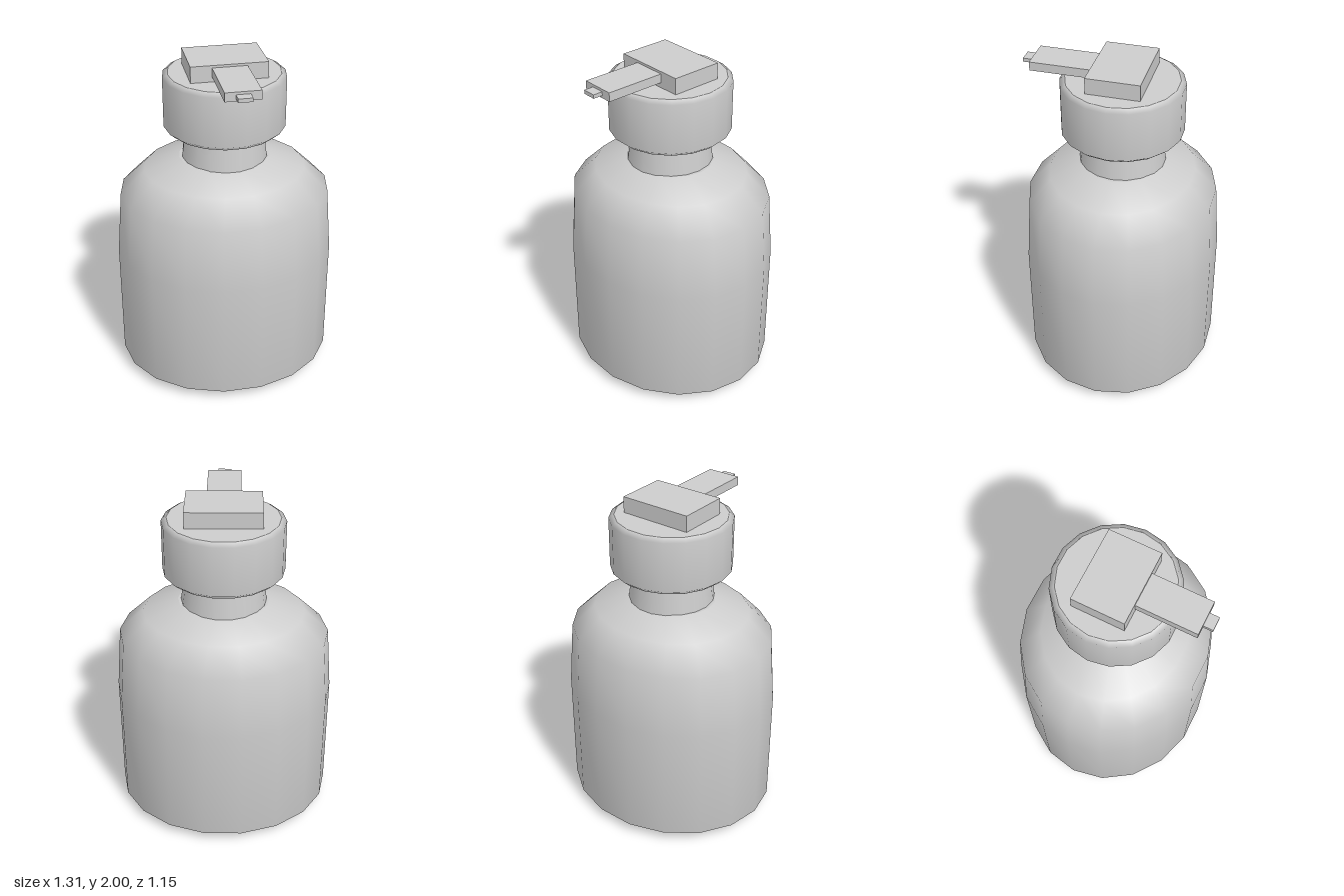
import * as THREE from 'three';

const SIDES = 18;

export function createModel() {
  const group = new THREE.Group();
  const grey = new THREE.MeshStandardMaterial({ color: 0xcccccc });
  grey.name = 'plain grey';

  const add = (name, geometry, parent = group) => {
    const mesh = new THREE.Mesh(geometry, grey);
    mesh.name = name;
    parent.add(mesh);
    return mesh;
  };

  // Turned part with smooth sides and flat, sharp-edged ends; a corner lies on +x
  const turned = (name, profile, depth = 1) => {
    const part = new THREE.Group();
    part.name = name;
    const lathe = (pts) => new THREE.LatheGeometry(
      pts.map(([r, y]) => new THREE.Vector2(r, y)), SIDES, Math.PI / 2);
    const first = profile[0], last = profile[profile.length - 1];
    add(name + 'Side', lathe(profile), part);
    add(name + 'Bottom', lathe([[0, first[1]], first]), part);
    add(name + 'Top', lathe([last, [0, last[1]]]), part);
    part.scale.z = depth;
    group.add(part);
  };

  // Oval bottle with chamfered foot and sloping shoulders
  turned('bottle', [
    [0.54, 0], [0.656, 0.065], [0.656, 0.79],
    [0.625, 1.175], [0.48, 1.315], [0.27, 1.388],
  ], 0.89);

  // Round neck and pump collar
  turned('neck', [[0.253, 1.38], [0.23, 1.56]]);
  turned('collar', [
    [0.27, 1.538], [0.325, 1.563], [0.356, 1.59], [0.356, 1.885], [0.325, 1.905],
  ]);

  // Pump head, spout and tip, given by their limits
  const box = (name, w, y0, y1, z0, z1) => {
    const mesh = add(name, new THREE.BoxGeometry(w, y1 - y0, z1 - z0));
    mesh.position.set(0, (y0 + y1) / 2, (z0 + z1) / 2);
  };
  box('pumpHead', 0.44, 1.9, 2, -0.155, 0.155);
  box('spout', 0.2, 1.934, 1.986, 0.14, 0.51);
  box('spoutTip', 0.08, 1.949, 1.971, 0.5, 0.567);

  return group;
}
